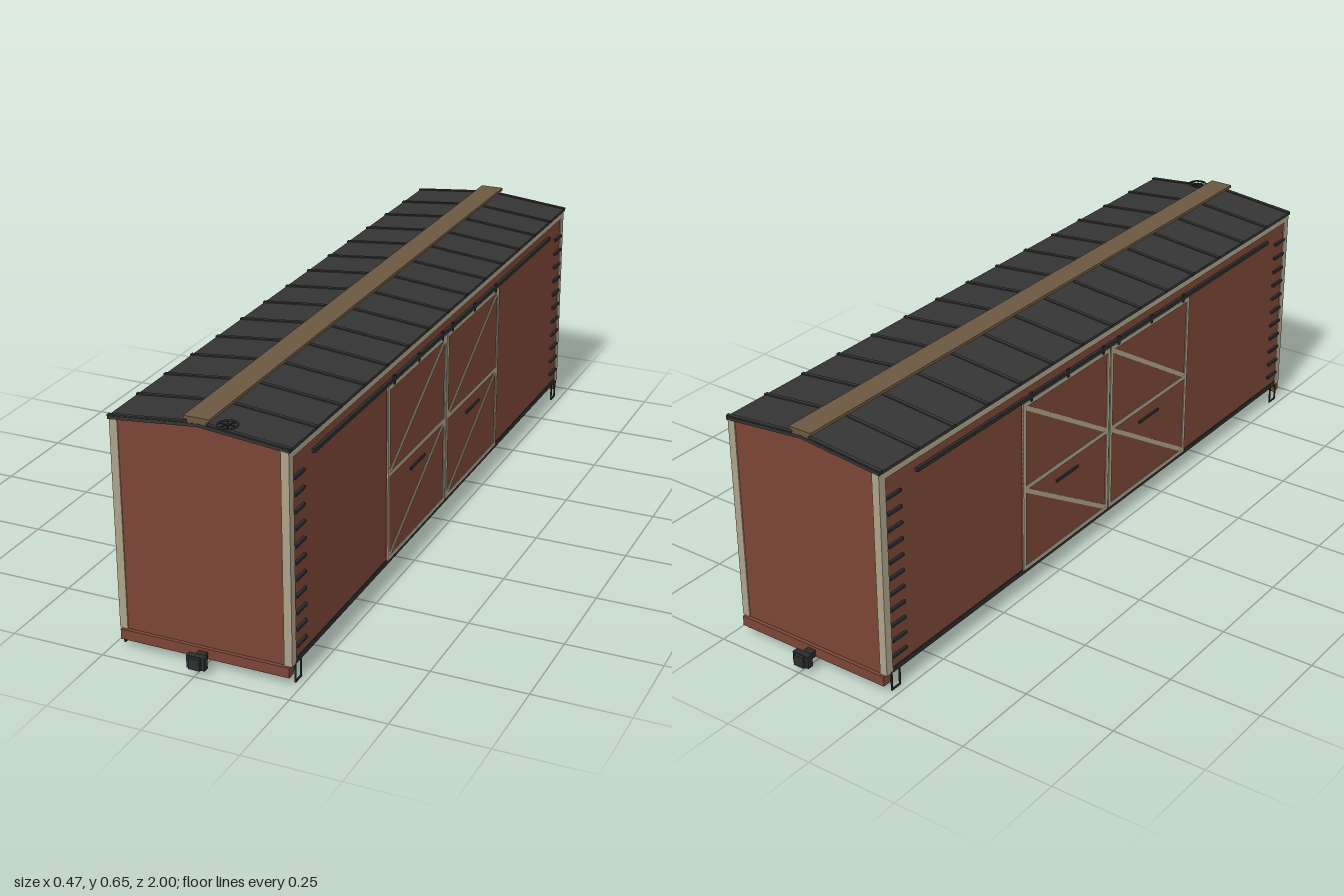
import * as THREE from 'three';

const mat = (name, color, extra = {}) => {
  const m = new THREE.MeshStandardMaterial({ color, ...extra });
  m.name = name;
  return m;
};

export function createModel() {
  const red = mat('boxcar red', 0x7a4536);
  const cream = mat('cream trim', 0xada28a);
  const roofGrey = mat('roof charcoal', 0x343434);
  const iron = mat('black iron', 0x2b2c2d);
  const steel = mat('wheel steel', 0x424446);
  const wood = mat('walkway wood', 0x6c5841);

  const car = new THREE.Group();
  car.name = 'boxcar';

  const add = (name, geo, material, x = 0, y = 0, z = 0, parent = car) => {
    const m = new THREE.Mesh(geo, material);
    m.name = name;
    m.position.set(x, y, z);
    parent.add(m);
    return m;
  };
  // Box given by its extents on each axis
  const box = (name, material, [x0, x1], [y0, y1], [z0, z1], parent = car) =>
    add(name, new THREE.BoxGeometry(x1 - x0, y1 - y0, z1 - z0), material,
      (x0 + x1) / 2, (y0 + y1) / 2, (z0 + z1) / 2, parent);
  // Straight round bar between two points
  const bar = (name, material, a, b, r, parent = car) => {
    const p = new THREE.Vector3(...a), q = new THREE.Vector3(...b);
    const m = add(name, new THREE.CylinderGeometry(r, r, p.distanceTo(q), 8), material, 0, 0, 0, parent);
    m.position.copy(p).lerp(q, 0.5);
    m.quaternion.setFromUnitVectors(new THREE.Vector3(0, 1, 0), q.sub(p).normalize());
    return m;
  };
  // Cross-section in x and y, extruded along z
  const prism = (name, material, pts, z0, z1) => {
    const shape = new THREE.Shape(pts.map(p => new THREE.Vector2(...p)));
    return add(name, new THREE.ExtrudeGeometry(shape, { depth: z1 - z0, bevelEnabled: false }), material, 0, 0, z0);
  };

  // Body and roof
  prism('body', red, [[-0.229, 0.055], [0.229, 0.055], [0.229, 0.608], [0, 0.63], [-0.229, 0.608]], -0.94, 0.94);
  const chevron = (w, low, peak, t) =>
    [[-w, low], [0, peak], [w, low], [w, low + t], [0, peak + t], [-w, low + t]];
  prism('roof', roofGrey, chevron(0.234, 0.606, 0.629, 0.008), -0.945, 0.945);
  for (let i = 0; i < 15; i++) {
    const z = -0.938 + i * 0.134;
    prism('roofRib', roofGrey, chevron(0.236, 0.612, 0.635, 0.005), z - 0.005, z + 0.005);
  }

  // Roof walk on its saddles
  box('roofWalk', wood, [-0.033, 0.033], [0.644, 0.652], [-0.945, 0.945]);
  for (let i = 0; i < 15; i++) {
    const z = -0.938 + i * 0.134;
    box('walkSaddle', wood, [-0.025, 0.025], [0.635, 0.644], [z - 0.006, z + 0.006]);
  }

  // Brake wheel above the front end
  const brake = new THREE.Group();
  brake.name = 'brakeWheel';
  brake.position.set(0.07, 0.639, 0.925);
  car.add(brake);
  add('rim', new THREE.TorusGeometry(0.024, 0.0025, 8, 24).rotateX(Math.PI / 2), iron, 0, 0, 0, brake);
  bar('stem', iron, [0, -0.02, 0], [0, 0.002, 0], 0.003, brake);
  for (let i = 0; i < 3; i++) {
    const a = i * Math.PI / 3, c = 0.024 * Math.cos(a), s = 0.024 * Math.sin(a);
    bar('spoke', iron, [-c, 0, -s], [c, 0, s], 0.0018, brake);
  }

  // One side wall with trim, doors and hardware
  function buildSide() {
    const side = new THREE.Group();
    side.name = 'side';
    const b = (name, m, x, y, z) => box(name, m, x, y, z, side);
    b('fascia', cream, [0.228, 0.2315], [0.588, 0.607], [-0.942, 0.942]);
    b('sideSill', iron, [0.226, 0.2315], [0.054, 0.068], [-0.92, 0.92]);
    b('doorTrack', iron, [0.229, 0.237], [0.555, 0.565], [-0.81, 0.82]);
    for (const s of [-1, 1]) {
      b('cornerPost', cream, [0.21, 0.231], [0.055, 0.607], s > 0 ? [0.92, 0.943] : [-0.943, -0.92]);
      for (let i = 0; i < 11; i++) {
        const y = 0.1 + i * 0.0435;
        b('ladderRung', iron, [0.229, 0.236], [y - 0.0035, y + 0.0035], s > 0 ? [0.868, 0.92] : [-0.92, -0.868]);
      }
      // Stirrup step
      for (const z of [0.895, 0.925])
        b('stirrupLeg', iron, [0.228, 0.232], [0.005, 0.058], [s * z - 0.002, s * z + 0.002]);
      b('stirrupTread', iron, [0.228, 0.232], [0.005, 0.009], [s * 0.91 - 0.017, s * 0.91 + 0.017]);

      // Sliding door, from z0 to z1
      const z0 = s > 0 ? 0.002 : -0.39, z1 = s > 0 ? 0.39 : -0.002;
      b('doorPanel', red, [0.228, 0.2325], [0.065, 0.552], [z0, z1]);
      const fx = [0.231, 0.2345];
      for (const y of [0.065, 0.301, 0.539]) b('doorRail', cream, fx, [y, y + 0.012], [z0, z1]);
      for (const z of [z0, z1 - 0.012]) b('doorStile', cream, fx, [0.065, 0.551], [z, z + 0.012]);
      for (const y of [0.072, 0.308]) {
        const dz = z1 - z0 - 0.012, dy = 0.232;
        const brace = add('doorBrace', new THREE.BoxGeometry(0.003, 0.012, Math.hypot(dz, dy) - 0.008), cream,
          0.2326, y + dy / 2, (z0 + z1) / 2, side);
        brace.rotation.x = Math.atan2(dy, dz);
      }
      const mid = (z0 + z1) / 2;
      b('doorHandle', iron, [0.232, 0.2365], [0.261, 0.268], [mid - 0.048, mid + 0.048]);
      for (const z of [mid - 0.16, mid, mid + 0.16])
        b('doorHanger', iron, [0.232, 0.237], [0.546, 0.57], [z - 0.004, z + 0.004]);
    }
    return side;
  }
  for (const turn of [false, true]) {
    const side = buildSide();
    side.name = turn ? 'rightSide' : 'leftSide';
    if (turn) side.scale.x = -1;
    car.add(side);
  }

  // End sills and couplers
  for (const s of [-1, 1]) {
    const span = (a, b) => (s > 0 ? [a, b] : [-b, -a]);
    box('endSill', red, [-0.226, 0.226], [0.028, 0.055], span(0.925, 0.95));
    box('couplerShank', iron, [-0.012, 0.012], [0.029, 0.047], span(0.94, 0.98));
    box('couplerHead', iron, [-0.024, 0.024], [0.02, 0.054], span(0.975, 0.992));
    box('couplerKnuckle', iron, [-0.015, 0.015], [0.022, 0.052], span(0.99, 1));
  }

  // Underframe
  box('centreSill', iron, [-0.025, 0.025], [0.03, 0.056], [-0.93, 0.93]);
  for (const z of [-0.21, 0.21]) {
    box('crossBearer', iron, [-0.175, 0.175], [0.034, 0.048], [z - 0.009, z + 0.009]);
    for (const x of [-0.157, -0.06, 0.06, 0.157])
      box('queenPost', iron, [x - 0.004, x + 0.004], [0.017, 0.04], [z - 0.006, z + 0.006]);
  }
  for (const x of [-0.157, -0.06, 0.06, 0.157]) {
    bar('trussRod', iron, [x, 0.019, -0.21], [x, 0.019, 0.21], 0.003);
    for (const s of [-1, 1]) bar('trussRod', iron, [x, 0.019, s * 0.21], [x, 0.055, s * 0.62], 0.003);
  }
  bar('brakeCylinder', iron, [0.074, 0.024, 0.02], [0.074, 0.024, 0.18], 0.018).geometry =
    new THREE.CylinderGeometry(0.018, 0.018, 0.16, 20);
  box('cylinderBracket', iron, [0.068, 0.08], [0.03, 0.056], [0.05, 0.15]);
  box('valveBox', iron, [-0.1, -0.065], [0.014, 0.056], [0.0, 0.035]);
  bar('airReservoir', iron, [-0.1, 0.024, -0.15], [-0.1, 0.024, -0.06], 0.014);
  box('reservoirBracket', iron, [-0.106, -0.094], [0.03, 0.056], [-0.13, -0.08]);

  // Wheelsets, sunk partly into the floor
  const wheelProfile = [[0, -0.012], [0.012, -0.012], [0.016, -0.006], [0.027, -0.006], [0.029, -0.01],
    [0.034, -0.01], [0.035, 0.005], [0.039, 0.007], [0.039, 0.011], [0, 0.011]]
    .map(p => new THREE.Vector2(...p));
  const wheelGeo = new THREE.LatheGeometry(wheelProfile, 28).rotateZ(Math.PI / 2);
  for (const truck of [-0.71, 0.715]) {
    box('bolster', iron, [-0.13, 0.13], [0.036, 0.056], [truck - 0.018, truck + 0.018]);
    for (const dz of [-0.07, 0.07]) {
      const z = truck + dz;
      bar('axle', iron, [-0.125, 0.043, z], [0.125, 0.043, z], 0.007);
      for (const s of [-1, 1]) {
        const wheel = add('wheel', wheelGeo, steel, s * 0.093, 0.043, z);
        if (s < 0) wheel.rotation.y = Math.PI;
        box('journalBox', iron, [s * 0.12 - 0.009, s * 0.12 + 0.009], [0.03, 0.055], [z - 0.012, z + 0.012]);
      }
    }
    for (const s of [-1, 1])
      box('sideFrame', iron, [s * 0.12 - 0.005, s * 0.12 + 0.005], [0.036, 0.046], [truck - 0.09, truck + 0.09]);
  }
  return car;
}
